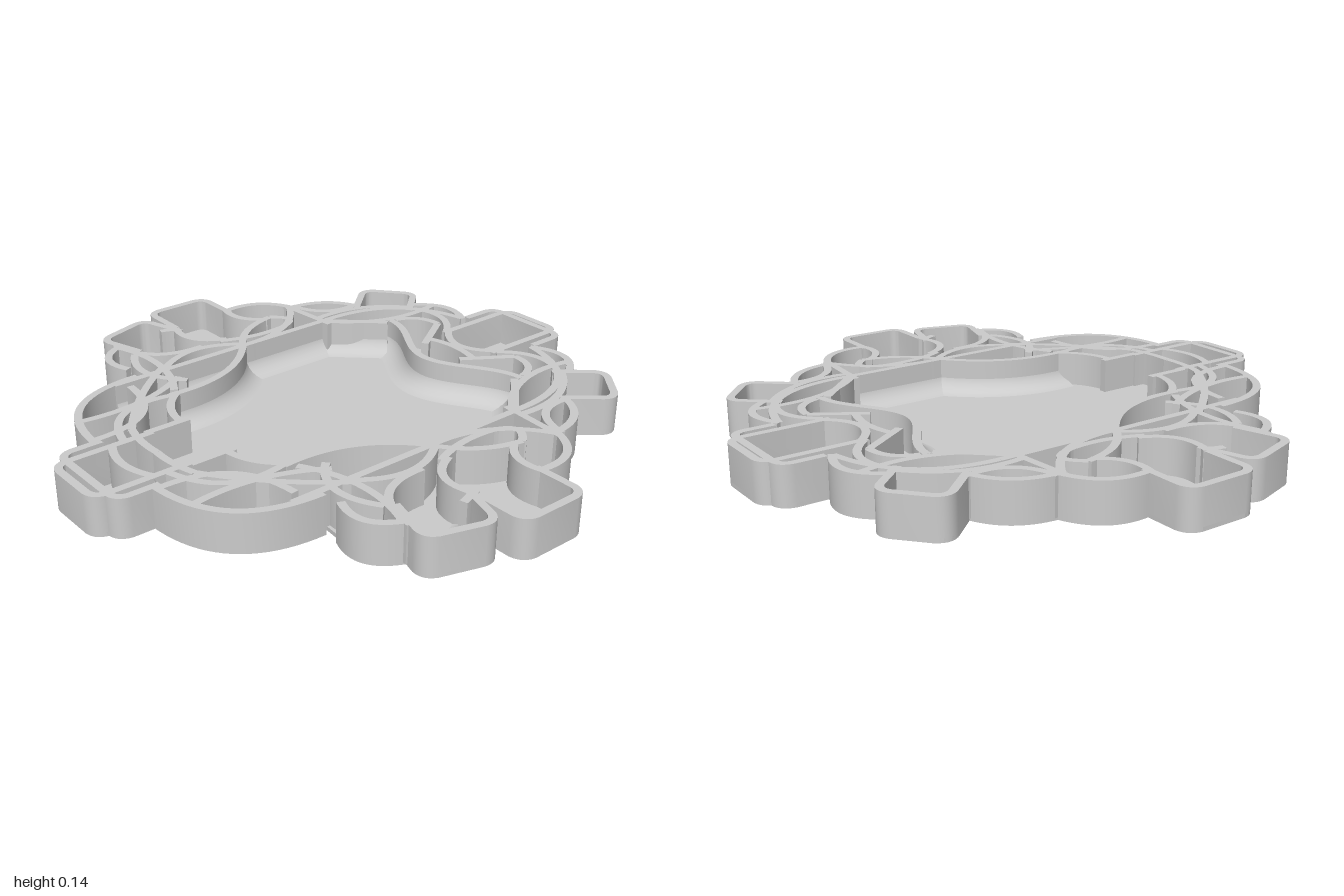
import * as THREE from 'three';
import { toCreasedNormals } from 'three/addons/utils/BufferGeometryUtils.js';

const H = 0.135, FLOOR = 0.014, T = 0.027;
const V = (x, z) => new THREE.Vector2(x, z);

// Bowed line in plan; positive bow is outward when walking back to front
function arc([x0, z0, x1, z1, bow]) {
  const mid = V((x0 + x1) / 2 + (z1 - z0) * 2 * bow, (z0 + z1) / 2 - (x1 - x0) * 2 * bow);
  return new THREE.QuadraticBezierCurve(V(x0, z0), mid, V(x1, z1)).getPoints(20);
}
// Mirrored path, reversed so its inner side stays inner
const mirror = path => path.map(p => V(-p.x, p.y)).reverse();

// Sweep a profile of [inward offset, height] along a plan path
function sweep(path, profile, closed) {
  const rings = path.map((p, i) => {
    const t = path[Math.min(i + 1, path.length - 1)].clone().sub(path[Math.max(i - 1, 0)]).normalize();
    return profile.map(([o, y]) => [p.x - t.y * o, y, p.y + t.x * o]);
  });
  const pos = [];
  const tri = (a, b, c) => pos.push(...a, ...b, ...c);
  const m = profile.length;
  for (let i = 0; i < rings.length - 1; i++) {
    const a = rings[i], b = rings[i + 1];
    for (let j = 0; j < (closed ? m : m - 1); j++) {
      const k = (j + 1) % m;
      tri(a[j], b[j], a[k]);
      tri(b[j], b[k], a[k]);
    }
  }
  if (closed) {
    const s = rings[0], e = rings[rings.length - 1];
    for (let j = 1; j < m - 1; j++) {
      tri(s[0], s[j], s[j + 1]);
      tri(e[0], e[j + 1], e[j]);
    }
  }
  const g = new THREE.BufferGeometry();
  g.setAttribute('position', new THREE.Float32BufferAttribute(pos, 3));
  return toCreasedNormals(g, 0.6);
}

const wallProfile = (a, b, y0) => [[a, y0], [b, y0], [b, H], [a, H]];
const outerWall = wallProfile(0, T, 0);
const rib = wallProfile(-T / 2, T / 2, 0.008);
// Quarter-round cove from the floor up to a wall
function coveProfile(start, r) {
  const out = [];
  for (let i = 0; i <= 6; i++) {
    const a = (i / 6) * Math.PI / 2;
    out.push([start + r * (1 - Math.sin(a)), FLOOR - 0.002 + r * (1 - Math.cos(a))]);
  }
  return out;
}

export function createModel() {
  const model = new THREE.Group();
  const mat = new THREE.MeshStandardMaterial({ color: 0xcccccc, side: THREE.DoubleSide });
  const add = (name, geo) => {
    const mesh = new THREE.Mesh(geo, mat);
    mesh.name = name;
    model.add(mesh);
  };
  const both = (name, path, profile, closed) => {
    add(name + 'Left', sweep(path, profile, closed));
    add(name + 'Right', sweep(mirror(path), profile, closed));
  };
  const plate = (name, pts) => {
    const g = new THREE.ExtrudeGeometry(new THREE.Shape(pts), { depth: FLOOR, bevelEnabled: false });
    g.rotateX(Math.PI / 2).translate(0, FLOOR, 0);
    add(name, g);
  };

  // Scalloped rim, back to front
  const scallops = [
    [0.17, -0.8, 0.42, -0.74, 0.25],
    [0.53, -0.575, 0.7, -0.36, 0.17],
    [0.7, -0.36, 0.835, -0.13, 0.2],
    [0.79, 0.11, 0.82, 0.18, 0.05],
    [0.79, 0.385, 0.58, 0.465, 0.25],
    [0.53, 0.46, 0.17, 0.83, 0.24],
  ].map(arc);
  scallops.forEach(s => {
    both('rimScallop', s, outerWall, true);
    both('rimCove', s, coveProfile(T / 2, 0.07), false);
  });

  // Base plate under the whole body
  const half = scallops.flat();
  plate('basePlate', [...half, ...mirror(half)].map(p => p.multiplyScalar(0.965)));

  // U-shaped tabs: tip centre, outward angle, width, wall length, floor length
  function tab(name, x, z, angle, w, len, floorLen) {
    const r = 0.055, h = w / 2;
    const u = l => {
      const p = new THREE.Path();
      p.moveTo(-l, -h);
      p.lineTo(-r, -h);
      p.quadraticCurveTo(-0.006, -h + 0.006, 0, -h + r);
      p.lineTo(0, h - r);
      p.quadraticCurveTo(-0.006, h - 0.006, -r, h);
      p.lineTo(-l, h);
      return p.getPoints(6).map(c => c.rotateAround(V(0, 0), angle).add(V(x, z)));
    };
    add(name + 'Wall', sweep(u(len), outerWall, true));
    plate(name + 'Floor', u(floorLen));
  }
  const q = Math.PI / 2;
  for (const [name, s, shoulder] of [['back', -1, 0.968], ['front', 1, 0.955]]) {
    tab(name + 'Tab', 0, s, s * q, 0.27, 0.36, 0.36);
    tab(name + 'Shoulder', 0, s * shoulder, s * q, 0.37, 0.16, 0.16);
  }
  for (const [name, x, z, a, w] of [
    ['cornerTab', 0.58, -0.77, -0.86, 0.235],
    ['sideTab', 1, -0.005, 0, 0.275],
    ['lowerTab', 0.918, 0.29, 0.3, 0.255],
  ]) {
    tab(name + 'Left', x, z, a, w, 0.2, 0.28);
    tab(name + 'Right', -x, z, Math.PI - a, w, 0.2, 0.28);
  }

  // Basin walls with coved feet
  [
    [0.5, -0.42, 0.5, 0.56, 0],
    [0.5, 0.02, 0.315, 0.45, -0.14],
    [0.33, -0.54, 0.5, -0.36, 0],
  ].map(arc).forEach(s => {
    both('basinWall', s, rib, true);
    both('basinCove', s, coveProfile(T * 0.4, 0.075), false);
  });
  const back = [];
  for (let i = -16; i <= 16; i++) back.push(V(i / 16 * 0.34, -0.48 + 0.07 * Math.cos(i / 16 * Math.PI)));
  add('basinBackWall', sweep(back, wallProfile(-T, 0, 0.008), true));
  add('basinBackCove', sweep(back, coveProfile(-0.005, 0.085), false));

  // Interlaced divider ribs, mirrored
  const backRibs = [
    [0.18, -0.79, 0.5, -0.42, 0.2],
    [0.35, -0.79, 0.5, -0.35, -0.15],
    [0.09, -0.51, 0.2, -0.68, 0],
    [0.2, -0.68, 0.33, -0.58, 0.2],
    [0.13, -0.66, 0.39, -0.7, 0.22],
    [0.38, -0.72, 0.53, -0.35, 0.15],
    [0.55, -0.57, 0.7, -0.36, -0.25],
    [0.46, -0.36, 0.71, -0.34, 0],
  ];
  const sideRibs = [
    [0.69, -0.34, 0.5, 0, -0.15],
    [0.5, 0.02, 0.66, -0.22, -0.12],
    [0.66, -0.22, 0.55, -0.2, -0.5],
    [0.55, -0.2, 0.59, 0.06, -0.08],
    [0.65, -0.2, 0.83, -0.13, -0.2],
    [0.5, 0, 0.5, 0.36, 0.22],
    [0.59, 0.03, 0.8, 0.12, -0.25],
    [0.59, 0.14, 0.8, 0.38, -0.25],
  ];
  const frontRibs = [
    [0.76, 0.38, 0.34, 0.42, -0.12],
    [0.68, 0.37, 0.38, 0.34, 0.22],
    [0.42, 0.35, 0.33, 0.78, -0.1],
    [0.53, 0.34, 0.18, 0.68, 0.05],
    [0.18, 0.68, 0, 0.7, 0.05],
    [0.31, 0.43, 0.13, 0.53, 0.12],
    [0.46, 0.52, 0.19, 0.82, -0.25],
    [0.31, 0.45, 0.13, 0.74, 0.25],
    [0.13, 0.5, 0.13, 0.66, 0],
  ];
  for (const [name, list] of [['backRib', backRibs], ['sideRib', sideRibs], ['frontRib', frontRibs]]) {
    list.forEach(r => both(name, arc(r), rib, true));
  }

  // Cross pieces on the centre line
  add('backCrescent', sweep(arc([-0.12, -0.55, 0.12, -0.55, 0.1]), rib, true));
  add('backApron', sweep(arc([-0.12, -0.66, 0.12, -0.66, -0.27]), rib, true));
  add('frontCrossRib', sweep(arc([-0.13, 0.78, 0.13, 0.78, -0.15]), rib, true));

  return model;
}
